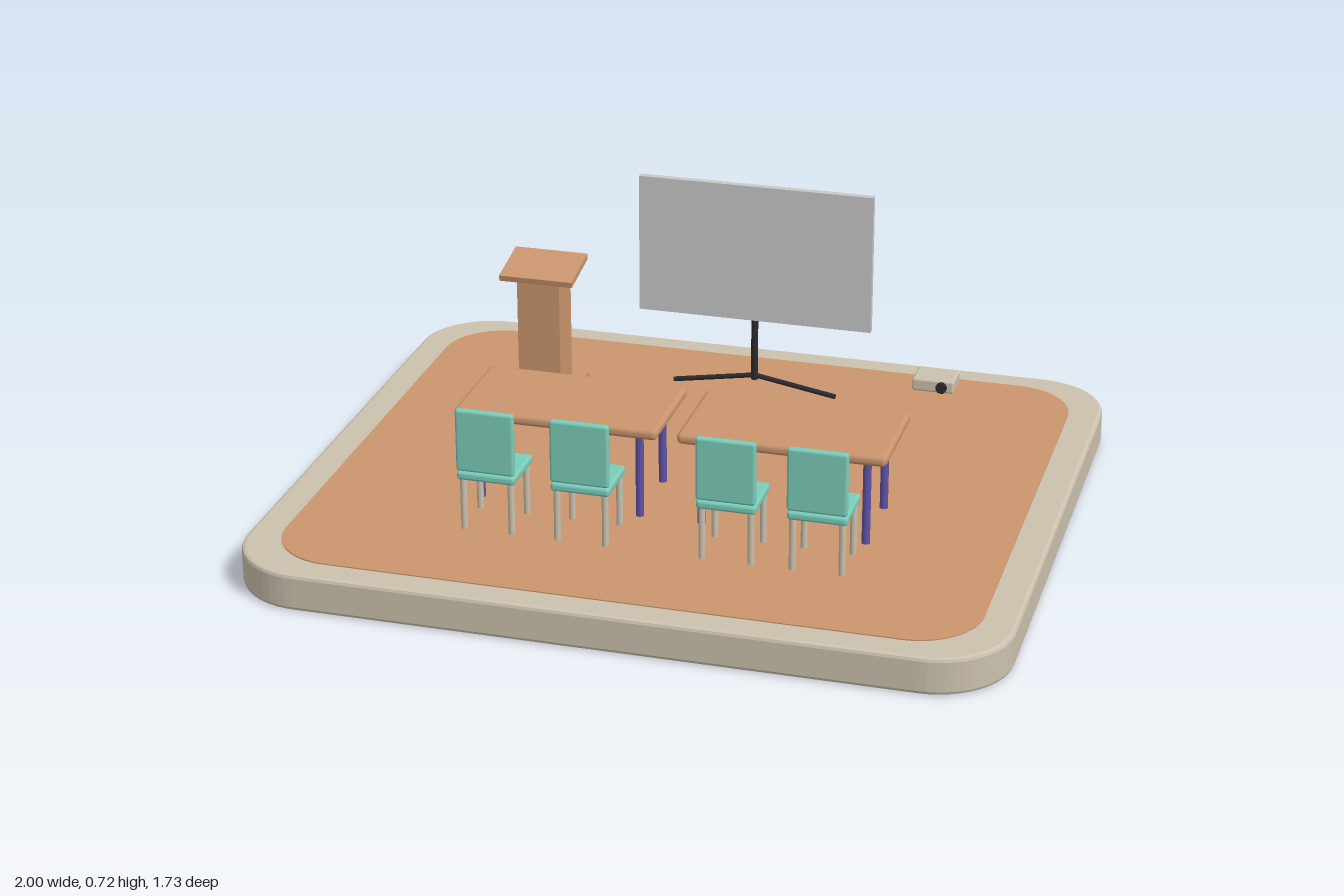
import * as THREE from 'three';
import { RoundedBoxGeometry } from 'three/addons/geometries/RoundedBoxGeometry.js';

const paint = (name, color) => {
  const m = new THREE.MeshStandardMaterial({ color });
  m.name = name;
  return m;
};

export function createModel() {
  const stone = paint('stone', 0xcbc1ad);
  const wood = paint('wood', 0xca956d);
  const teal = paint('teal', 0x7accba);
  const purple = paint('purple', 0x5f52a5);
  const grey = paint('screen grey', 0xc8c8c8);
  const dark = paint('dark', 0x2a2b2e);

  const root = new THREE.Group();
  const FLOOR = 0.1;

  const add = (parent, name, geo, mat, x = 0, y = 0, z = 0) => {
    const m = new THREE.Mesh(geo, mat);
    m.name = name;
    m.position.set(x, y, z);
    parent.add(m);
    return m;
  };
  const group = (name, x = 0, z = 0) => {
    const g = new THREE.Group();
    g.name = name;
    g.position.set(x, 0, z);
    root.add(g);
    return g;
  };
  // Round bar between two points
  const bar = (parent, name, a, b, r, mat) => {
    const p = new THREE.Vector3(...a), q = new THREE.Vector3(...b);
    const d = q.clone().sub(p);
    const m = add(parent, name, new THREE.CylinderGeometry(r, r, d.length(), 12), mat);
    m.position.copy(p).add(q).multiplyScalar(0.5);
    m.quaternion.setFromUnitVectors(new THREE.Vector3(0, 1, 0), d.normalize());
  };
  const legs = (parent, dx, dz, top, r, mat) => {
    for (const sx of [-1, 1]) for (const sz of [-1, 1])
      bar(parent, 'leg', [sx * dx, FLOOR, sz * dz], [sx * dx, top, sz * dz], r, mat);
  };
  // Horizontal slab with rounded corners and an optional bevelled rim
  const slab = (hw, hd, r, h, bevel) => {
    const w = hw - bevel, d = hd - bevel, c = r - bevel;
    const s = new THREE.Shape();
    s.absarc(w - c, d - c, c, 0, Math.PI / 2);
    s.absarc(-w + c, d - c, c, Math.PI / 2, Math.PI);
    s.absarc(-w + c, -d + c, c, Math.PI, Math.PI * 1.5);
    s.absarc(w - c, -d + c, c, Math.PI * 1.5, Math.PI * 2);
    const g = new THREE.ExtrudeGeometry(s, {
      depth: h - 2 * bevel, curveSegments: 7, bevelEnabled: bevel > 0,
      bevelThickness: bevel, bevelSize: bevel, bevelSegments: 2,
    });
    return g.rotateX(-Math.PI / 2).translate(0, bevel, 0);
  };

  // Platform and floor
  add(root, 'platform', slab(1, 0.863, 0.2, FLOOR, 0.01), stone);
  add(root, 'floor', slab(0.913, 0.785, 0.17, 0.004, 0), wood, 0, FLOOR - 0.001, 0);

  // Tables
  for (const x of [-0.271, 0.329]) {
    const t = group('table', x, 0.197);
    add(t, 'tableTop', new RoundedBoxGeometry(0.548, 0.03, 0.3, 2, 0.013), wood, 0, 0.352, 0);
    legs(t, 0.217, 0.107, 0.345, 0.011, purple);
  }

  // Chairs
  for (const x of [-0.404, -0.153, 0.229, 0.464]) {
    const c = group('chair', x, 0.433);
    add(c, 'seat', new RoundedBoxGeometry(0.156, 0.024, 0.156, 2, 0.009), teal, 0, 0.256, 0);
    add(c, 'backrest', new RoundedBoxGeometry(0.156, 0.172, 0.02, 2, 0.008), teal, 0, 0.356, 0.07);
    legs(c, 0.064, 0.063, 0.25, 0.009, stone);
  }

  // Lectern
  const lectern = group('lectern', -0.55, -0.434);
  add(lectern, 'lecternBase', new THREE.BoxGeometry(0.211, 0.024, 0.15), wood, 0, 0.112, 0);
  add(lectern, 'lecternColumn', new THREE.BoxGeometry(0.123, 0.33, 0.106), wood, 0, 0.285, 0);
  add(lectern, 'lecternDesk', new THREE.BoxGeometry(0.211, 0.017, 0.154), wood, 0, 0.461, 0)
    .rotation.x = 0.2;

  // Screen on a stand
  const screen = group('screenStand', 0.031, -0.55);
  add(screen, 'screen', new THREE.BoxGeometry(0.666, 0.398, 0.02), grey, 0, 0.52, 0);
  bar(screen, 'pole', [0, 0.14, 0], [0, 0.322, 0], 0.01, dark);
  for (const s of [-1, 1])
    bar(screen, 'standLeg', [0, 0.152, 0], [s * 0.235, 0.112, 0], 0.007, dark);

  // Projector
  const projector = group('projector', 0.598, -0.303);
  add(projector, 'projectorBody', new RoundedBoxGeometry(0.114, 0.036, 0.088, 2, 0.007), stone, 0, 0.306, 0);
  add(projector, 'lens', new THREE.CylinderGeometry(0.015, 0.015, 0.02, 16).rotateX(Math.PI / 2),
    dark, 0.024, 0.306, 0.043);

  return root;
}
